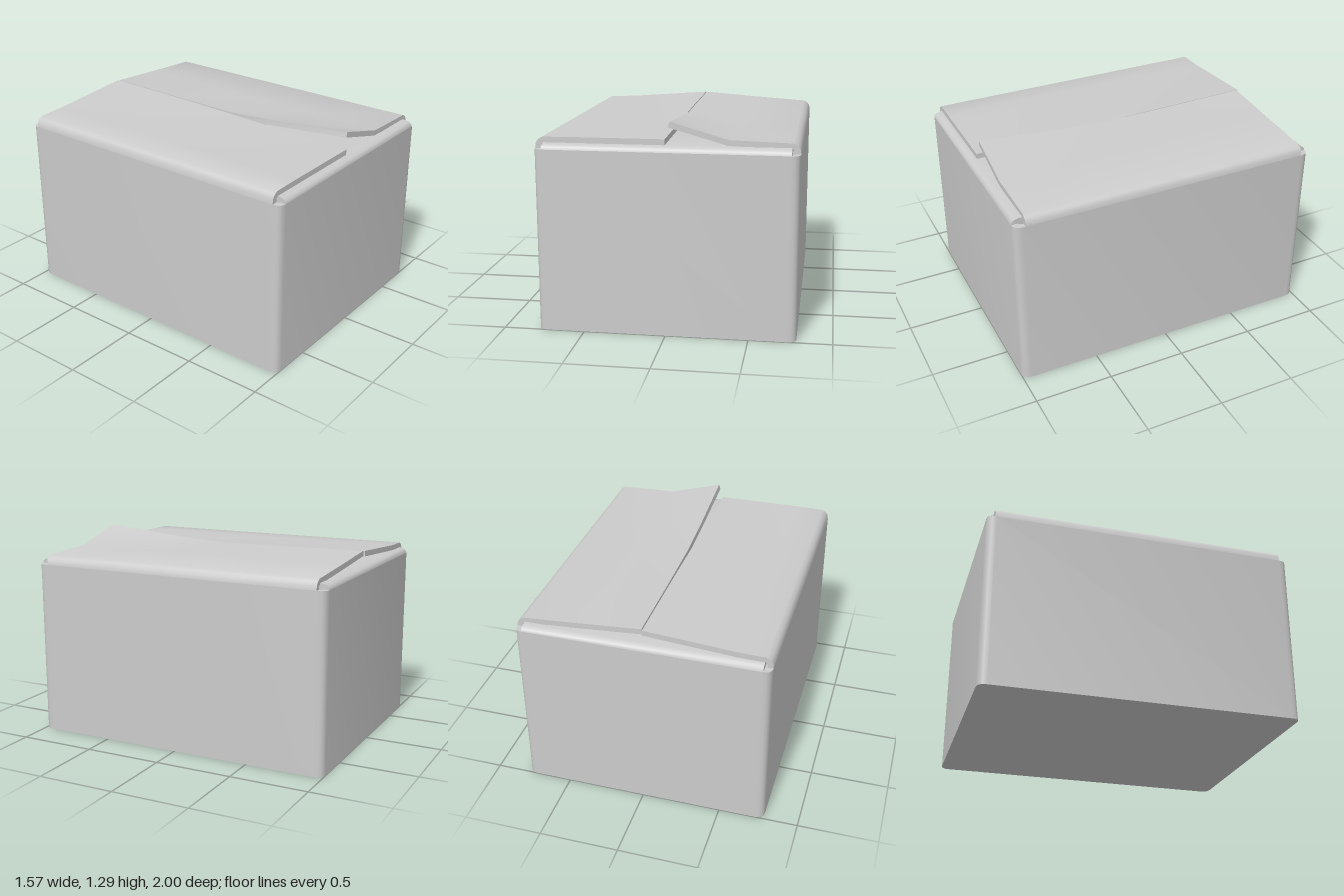
import * as THREE from 'three';
import { toCreasedNormals } from 'three/addons/utils/BufferGeometryUtils.js';

const material = new THREE.MeshStandardMaterial({ color: 0xcccccc });
const W = 0.785, D = 1, WALL_TOP = 1.12, BOARD = 0.035;

// Rectangle with rounded corners, drawn in plan
function plan(shape, w, d, r) {
  shape.moveTo(w - r, -d);
  shape.quadraticCurveTo(w, -d, w, -d + r);
  shape.lineTo(w, d - r);
  shape.quadraticCurveTo(w, d, w - r, d);
  shape.lineTo(-w + r, d);
  shape.quadraticCurveTo(-w, d, -w, d - r);
  shape.lineTo(-w, -d + r);
  shape.quadraticCurveTo(-w, -d, -w + r, -d);
  shape.closePath();
  return shape;
}

function upright(shape, height) {
  const geo = new THREE.ExtrudeGeometry(shape, { depth: height, bevelEnabled: false, curveSegments: 4 });
  return toCreasedNormals(geo.rotateX(-Math.PI / 2), 0.7);
}

// Close an outer line into a board of even thickness
function thicken(line) {
  const inner = line.map(([x, y], i) => {
    const a = line[Math.max(i - 1, 0)], b = line[Math.min(i + 1, line.length - 1)];
    const dx = b[0] - a[0], dy = b[1] - a[1], k = BOARD / Math.hypot(dx, dy);
    return [x - dy * k, y + dx * k];
  });
  return [...line, ...inner.reverse()];
}

// Bent flap lofted through rows of { z, line }, hinged on the +x side
function flap(name, rows, turn) {
  const n = rows[0].line.length * 2, pos = [], idx = [];
  for (const { z, line } of rows) for (const [x, y] of thicken(line)) pos.push(x, y, z);
  for (let r = 0; r < rows.length - 1; r++) {
    for (let j = 0; j < n; j++) {
      const a = r * n + j, b = r * n + (j + 1) % n;
      idx.push(a, b, a + n, b, b + n, a + n);
    }
  }
  // End faces
  const e = (rows.length - 1) * n;
  for (let i = 0; i < n / 2 - 1; i++) {
    const q = [i, i + 1, n - 2 - i, n - 1 - i];
    idx.push(e + q[0], e + q[1], e + q[2], e + q[0], e + q[2], e + q[3]);
    idx.push(q[0], q[2], q[1], q[0], q[3], q[2]);
  }
  const geo = new THREE.BufferGeometry();
  geo.setAttribute('position', new THREE.Float32BufferAttribute(pos, 3));
  geo.setIndex(idx);
  const mesh = new THREE.Mesh(toCreasedNormals(geo, 0.7), material);
  mesh.name = name;
  mesh.rotation.y = turn;
  return mesh;
}

// Rounded fold at the hinge, then the given points towards the free edge
const folded = (u, top, ...rest) => {
  const h = top - WALL_TOP;
  return [[u, WALL_TOP], [u - 0.004, WALL_TOP + h * 0.45], [u - 0.018, WALL_TOP + h * 0.78],
    [u - 0.045, top], ...rest];
};

export function createModel() {
  const box = new THREE.Group();
  box.name = 'cardboardBox';

  // Walls and floor
  const ring = plan(new THREE.Shape(), W, D, 0.055);
  ring.holes.push(plan(new THREE.Path(), W - BOARD, D - BOARD, 0.03));
  const walls = new THREE.Mesh(upright(ring, WALL_TOP), material);
  walls.name = 'walls';
  const floor = new THREE.Mesh(upright(plan(new THREE.Shape(), W - BOARD, D - BOARD, 0.03), BOARD), material);
  floor.name = 'floor';
  box.add(walls, floor);

  // Short flaps folded in at front and back
  for (const [name, turn] of [['frontInnerFlap', -Math.PI / 2], ['backInnerFlap', Math.PI / 2]]) {
    const line = folded(D, 1.155, [0.6, 1.152], [0.27, 1.15]);
    box.add(flap(name, [-0.735, 0.735].map(z => ({ z, line })), turn));
  }

  // Left top flap, lifted at its front corner
  const leftRows = [
    [-0.94, 0.37, 1.207, 0.0, 1.235],
    [-0.4, 0.37, 1.203, 0.002, 1.226],
    [0.05, 0.37, 1.2, 0.005, 1.221],
    [0.4, 0.37, 1.197, 0.01, 1.243],
    [0.93, 0.37, 1.192, 0.02, 1.292],
  ].map(([z, x1, y1, x2, y2]) => ({ z, line: folded(W, 1.182, [x1, y1], [x2, y2]) }));
  box.add(flap('leftTopFlap', leftRows, 0));

  // Right top flap, lying flat at the front and rising slightly at the back
  const rightRows = [
    [-0.945, 1.19, 1.19],
    [-0.4, 1.19, 1.203],
    [0.2, 1.19, 1.221],
    [0.95, 1.192, 1.234],
  ].map(([z, y1, y2]) => ({ z, line: folded(W, 1.188, [0.57, y1], [0.006, y2]) }));
  box.add(flap('rightTopFlap', rightRows, Math.PI));

  return box;
}
